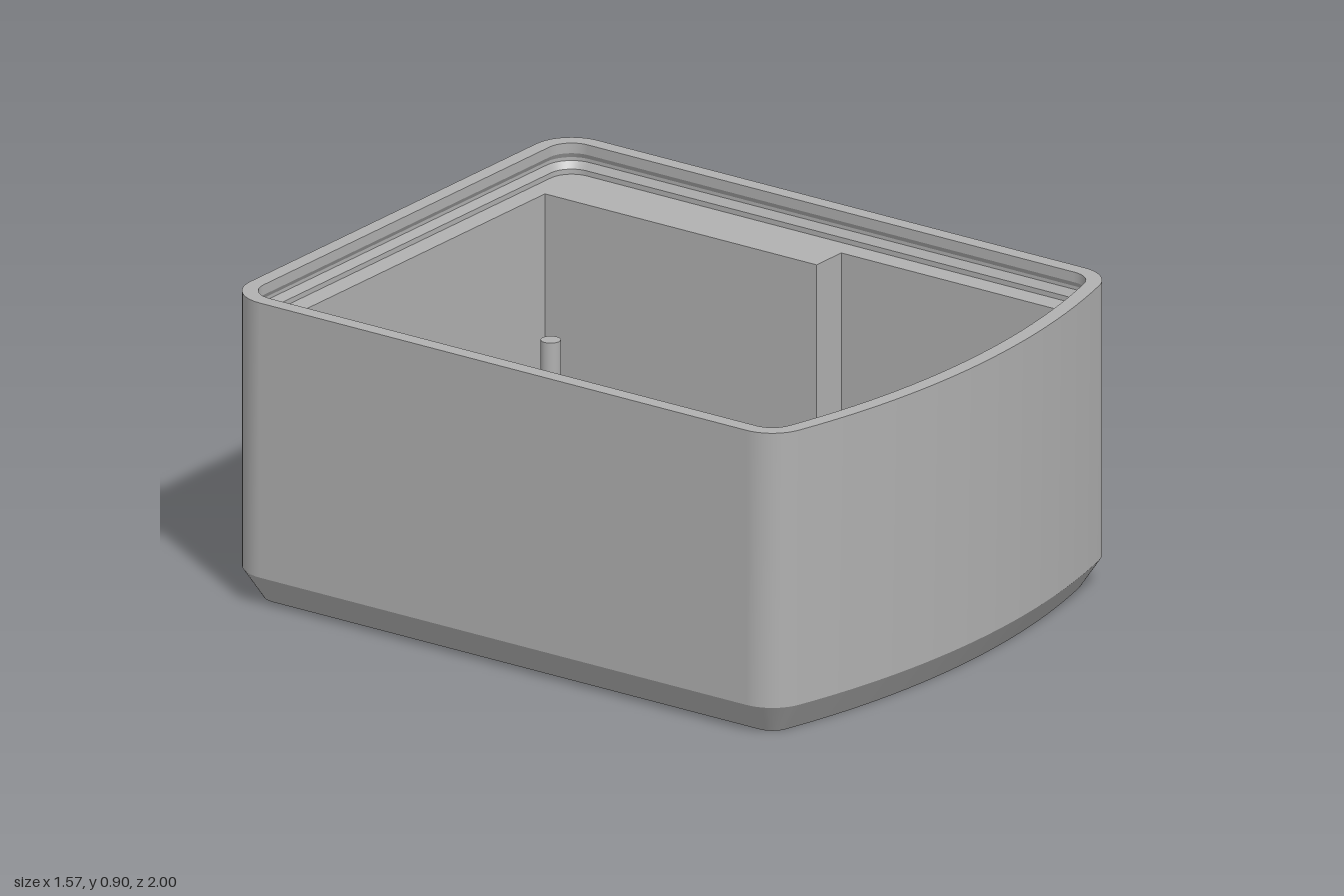
import * as THREE from 'three';

const H = 0.9, CHAMFER_Y = 0.09, SHELF_Y = 0.81, FLOOR_Y = 0.04;
const W = 0.785, R = 0.12, BOW = 2.56;            // half width, corner radius, front bow radius
const CX = W - R, BACK_Z = -1 + R, BOW_Z = 1 - BOW;
const FRONT_Z = BOW_Z + Math.sqrt((BOW - R) ** 2 - CX ** 2);
const TILT = Math.atan2(FRONT_Z - BOW_Z, CX);     // where a front corner meets the bow
const N = 10, BOW_N = 24;

const v2 = (x, y) => new THREE.Vector2(x, y);
const v3 = (x, y, z) => new THREE.Vector3(x, y, z);

function arc(cx, cz, r, a0, a1, n) {
  return Array.from({ length: n + 1 }, (_, i) => {
    const a = a0 + (a1 - a0) * i / n;
    return v2(cx + r * Math.cos(a), cz + r * Math.sin(a));
  });
}

// Plan of the box (x, z), moved inwards by inset; starts at the front of the right wall
function outline(inset) {
  const r = R - inset, P = Math.PI;
  return [
    ...arc(CX, FRONT_Z, r, 0, TILT, N),
    ...arc(0, BOW_Z, BOW - inset, TILT, P - TILT, BOW_N).slice(1, -1),
    ...arc(-CX, FRONT_Z, r, P - TILT, P, N),
    ...arc(-CX, BACK_Z, r, P, 1.5 * P, N),
    ...arc(CX, BACK_Z, r, 1.5 * P, 2 * P, N),
  ];
}
const ring = (inset, y) => outline(inset).map(p => v3(p.x, y, p.y));
const close = pts => [...pts, pts[0]];

// Smooth strip between two rows of points
function band(a, b) {
  const n = a.length, idx = [];
  for (let i = 0; i < n - 1; i++) idx.push(i, n + i, i + 1, i + 1, n + i, n + i + 1);
  const g = new THREE.BufferGeometry().setFromPoints([...a, ...b]);
  g.setIndex(idx);
  g.computeVertexNormals();
  return g;
}

// Slot outline, counter-clockwise
function slot(u, y, half, r) {
  const d = half - r, q = Math.PI / 2;
  return [...arc(u + d, y, r, -q, q, 12), ...arc(u - d, y, r, q, 3 * q, 12)];
}

// Upright flat wall from p0 to p1 with an optional hole
function panel(p0, p1, y0, y1, hole) {
  const dx = p1[0] - p0[0], dz = p1[1] - p0[1], len = Math.hypot(dx, dz);
  const s = new THREE.Shape([v2(0, y0), v2(len, y0), v2(len, y1), v2(0, y1)]);
  if (hole) s.holes.push(new THREE.Path().setFromPoints(hole));
  return new THREE.ShapeGeometry(s).rotateY(Math.atan2(-dz, dx)).translate(p0[0], 0, p0[1]);
}

// Level face looking up, with an optional hole
function level(pts, y, hole) {
  const flip = list => list.map(p => v2(p.x, -p.y));
  const s = new THREE.Shape(flip(pts));
  if (hole) s.holes.push(new THREE.Path().setFromPoints(flip(hole)));
  return new THREE.ShapeGeometry(s).rotateX(-Math.PI / 2).translate(0, y, 0);
}

export function createModel() {
  const model = new THREE.Group();
  model.name = 'enclosure';
  const grey = new THREE.MeshStandardMaterial({ color: 0xb0b0b0 });
  grey.name = 'grey plastic';
  const add = (name, geometry) => {
    const m = new THREE.Mesh(geometry, grey);
    m.name = name;
    model.add(m);
    return m;
  };

  // Openings: [centre, height, half length, radius]
  const SLOT_Y = 0.325, SIDE_Z = 0.47, BACK_X = -0.475;
  const side = u => slot(u, SLOT_Y, 0.22, 0.065);
  const backIn = u => slot(u, SLOT_Y, 0.148, 0.065);
  const backOut = u => slot(u, SLOT_Y, 0.203, 0.12);

  // Underside and chamfer
  add('underside', new THREE.ShapeGeometry(new THREE.Shape(outline(0.06))).rotateX(Math.PI / 2));
  add('bottomChamfer', band(close(ring(0.06, 0)), close(ring(0, CHAMFER_Y))));

  // Outer walls
  const low = ring(0, CHAMFER_Y), high = ring(0, H), cut = low.length - (N + 1);
  add('frontAndLeftWall', band(low.slice(0, cut), high.slice(0, cut)));
  add('backCorner', band(low.slice(cut), high.slice(cut)));
  add('sideWall', panel([W, FRONT_Z], [W, BACK_Z], CHAMFER_Y, H, side(FRONT_Z - SIDE_Z)));
  add('backWall', panel([CX, -1], [-CX, -1], CHAMFER_Y, H, backOut(CX - BACK_X)));

  // Rim and snap groove, from the outer edge down to the shelf
  const lip = [[0, H], [0.045, H], [0.045, 0.87], [0.036, 0.855], [0.036, 0.845], [0.05, 0.825], [0.05, SHELF_Y]];
  for (let i = 0; i < lip.length - 1; i++) {
    add(i ? 'rimGroove' : 'rim', band(close(ring(...lip[i])), close(ring(...lip[i + 1]))));
  }

  // Stepped cavity
  const plan = [
    [-0.73, -0.89], [0.555, -0.89], [0.555, 0.04], [0.67, 0.04], [0.67, 0.795], [0.555, 0.795],
    [0.555, 0.88], [-0.56, 0.88], [-0.635, 0.865], [-0.635, -0.065], [-0.73, -0.065],
  ];
  const planPts = plan.map(p => v2(...p));
  const holes = { 0: backIn(BACK_X + 0.73), 3: side(SIDE_Z - 0.04) };
  plan.forEach((p, i) => add('cavityWall', panel(p, plan[(i + 1) % plan.length], FLOOR_Y, SHELF_Y, holes[i])));
  add('shelf', level(outline(0.05), SHELF_Y, planPts));
  add('floor', level(planPts, FLOOR_Y));

  // Rounded foot of the recessed left wall
  const foot = arc(-0.68, FLOOR_Y + 0.05, 0.05, Math.PI, 1.5 * Math.PI, 6);
  add('wallFillet', band(foot.map(p => v3(p.x, p.y, -0.89)), foot.map(p => v3(p.x, p.y, -0.065))));

  // Slot linings: straight at the side, flared outwards at the back
  const sideRow = x => close(side(-SIDE_Z).map(p => v3(x, p.y, -p.x)));
  add('sideSlot', band(sideRow(0.67), sideRow(W)));
  const backRow = (pts, z) => close(pts.map(p => v3(-p.x, p.y, z)));
  add('backSlot', band(backRow(backIn(-BACK_X), -0.89), backRow(backOut(-BACK_X), -1)));

  // Raised oblong pad on the floor
  const pad = new THREE.Shape(slot(0.465, -0.475, 0.215, 0.085));
  add('floorPad', new THREE.ExtrudeGeometry(pad, { depth: 0.15, bevelEnabled: false })
    .rotateX(-Math.PI / 2).rotateY(Math.PI / 2).translate(0, FLOOR_Y, 0));

  // Mounting posts with locating pins
  for (const [x, z] of [[0.48, -0.815], [0.48, 0.81], [-0.56, 0.81]]) {
    add('post', new THREE.CylinderGeometry(0.056, 0.056, 0.145, 32)).position.set(x, FLOOR_Y + 0.0725, z);
    add('pin', new THREE.CylinderGeometry(0.028, 0.028, 0.235, 24)).position.set(x, 0.3025, z);
  }
  return model;
}
